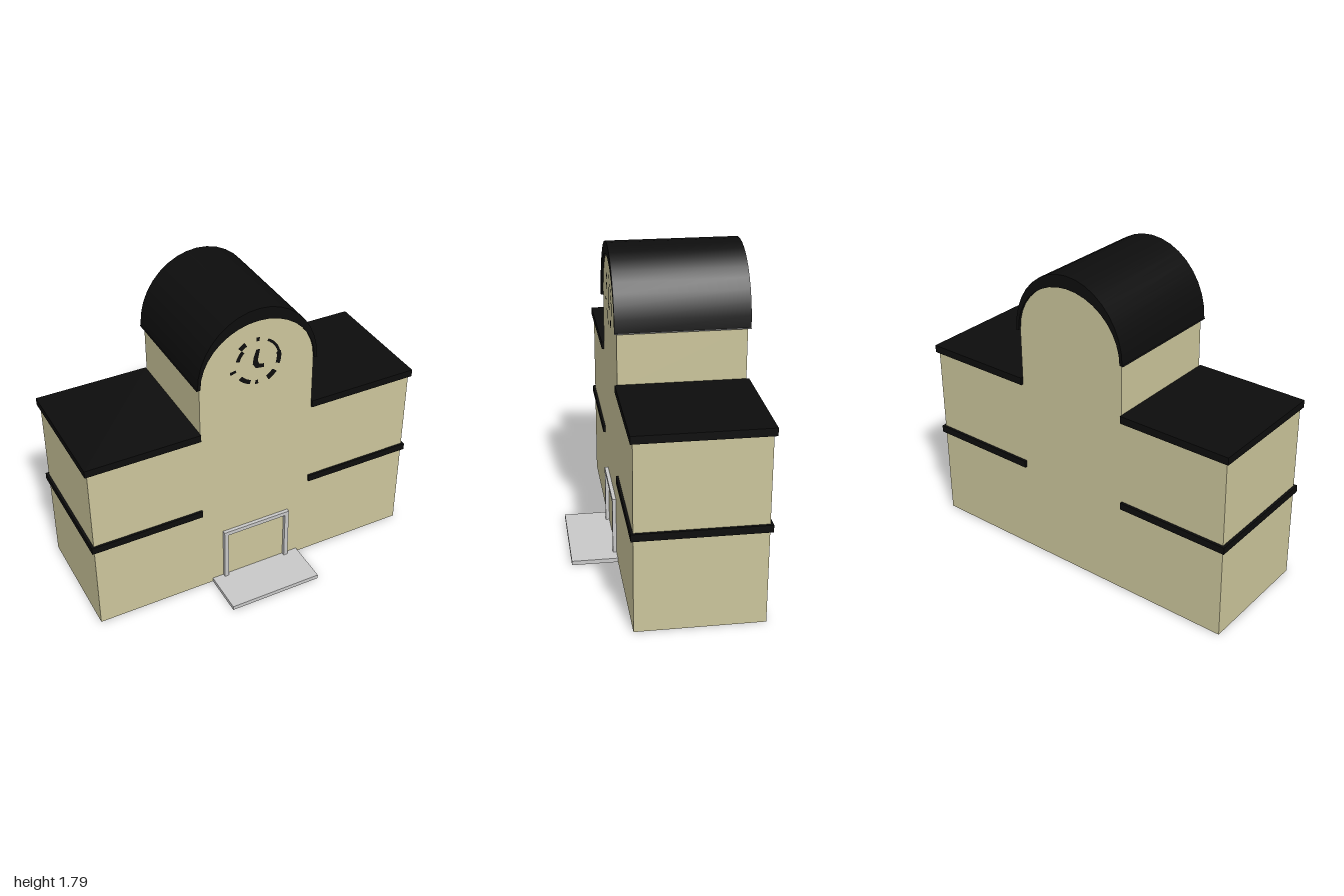
import * as THREE from 'three';
import { toCreasedNormals } from 'three/addons/utils/BufferGeometryUtils.js';

const FRONT = 0.226, BACK = -0.471;        // wall planes
const EAVE_F = 0.239, EAVE_B = -0.486;     // trim and roof planes
const ARCH_Y = 1.4;

function material(name, color, side = THREE.FrontSide) {
  const m = new THREE.MeshStandardMaterial({ color, side });
  m.name = name;
  return m;
}

// Points of a half ellipse from right to left
function arch(a, b, y, n = 18) {
  return Array.from({ length: n + 1 }, (_, i) => {
    const t = (i / n) * Math.PI;
    return new THREE.Vector2(a * Math.cos(t), y + b * Math.sin(t));
  });
}

// Open strip joining an outline on the front plane to the back plane
function ribbon(points, z0, z1) {
  const pos = [];
  for (let i = 0; i < points.length - 1; i++) {
    const p = points[i], q = points[i + 1];
    pos.push(p.x, p.y, z0, p.x, p.y, z1, q.x, q.y, z1);
    pos.push(p.x, p.y, z0, q.x, q.y, z1, q.x, q.y, z0);
  }
  const g = new THREE.BufferGeometry();
  g.setAttribute('position', new THREE.Float32BufferAttribute(pos, 3));
  g.computeVertexNormals();
  return g;
}

export function createModel() {
  const model = new THREE.Group();
  model.name = 'building';
  const cream = material('cream wall', 0xcbc59b, THREE.DoubleSide);
  const black = material('black trim', 0x0d0d0d);
  const grey = material('light grey stone', 0xc8c8c8);

  const add = (name, geometry, mat, parent = model) => {
    const mesh = new THREE.Mesh(geometry, mat);
    mesh.name = name;
    parent.add(mesh);
    return mesh;
  };
  // Box given by its limits on each axis
  const box = (name, x0, x1, y0, y1, z0, z1, mat) => {
    const g = new THREE.BoxGeometry(x1 - x0, y1 - y0, z1 - z0);
    g.translate((x0 + x1) / 2, (y0 + y1) / 2, (z0 + z1) / 2);
    return add(name, g, mat);
  };

  // Hollow walls: two wings and the arched tower, open below
  const V = (x, y) => new THREE.Vector2(x, y);
  const outline = [
    V(0.985, 0), V(0.985, 1.08), V(0.34, 1.08),
    ...arch(0.34, 0.325, ARCH_Y),
    V(-0.34, 1.08), V(-0.985, 1.08), V(-0.985, 0),
  ];
  const face = new THREE.ShapeGeometry(new THREE.Shape(outline));
  add('frontWall', face, cream).position.z = FRONT;
  add('backWall', face.clone().rotateY(Math.PI), cream).position.z = BACK;
  add('sideWalls', ribbon(outline, FRONT, BACK), cream);

  // Arched tower roof
  const roofShape = new THREE.Shape([
    V(0.36, 1.395), ...arch(0.355, 0.392, ARCH_Y), V(-0.36, 1.395),
    ...arch(0.338, 0.323, ARCH_Y - 0.002).reverse(),
  ]);
  const roof = new THREE.ExtrudeGeometry(roofShape, { depth: EAVE_F - EAVE_B, bevelEnabled: false });
  roof.translate(0, 0, EAVE_B);
  add('towerRoof', toCreasedNormals(roof, 0.6), black);

  // Wing roofs and the trim between the floors
  for (const s of [-1, 1]) {
    const side = s > 0 ? 'left' : 'right';
    const span = (a, b) => (s > 0 ? [a, b] : [-b, -a]);
    box(side + 'WingRoof', ...span(0.34, 1), 1.065, 1.108, EAVE_B, EAVE_F, black);
    box(side + 'FrontTrim', ...span(0.34, 1), 0.535, 0.576, FRONT, EAVE_F, black);
    box(side + 'BackTrim', ...span(0.34, 1), 0.535, 0.576, EAVE_B, BACK, black);
    box(side + 'EndTrim', ...span(0.985, 1), 0.535, 0.576, BACK, FRONT, black);
  }

  // Worn clock: pieces of a ring [start, end in degrees, inner, outer radius]
  const clock = new THREE.Group();
  clock.name = 'clock';
  clock.position.set(-0.005, 1.468, FRONT + 0.004);
  model.add(clock);
  const pieces = [
    [-20, 12, 0.118, 0.145], [12, 62, 0.125, 0.14], [-62, -38, 0.118, 0.152],
    [-94, -86, 0.115, 0.14], [-142, -108, 0.11, 0.135], [-172, -165, 0.125, 0.16],
    [135, 165, 0.105, 0.128], [118, 135, 0.125, 0.155], [84, 92, 0.125, 0.148],
  ];
  for (const [a, b, r0, r1] of pieces) {
    const rad = THREE.MathUtils.degToRad;
    add('ringPiece', new THREE.RingGeometry(r0, r1, 6, 1, rad(a), rad(b - a)), black, clock);
  }
  const hands = new THREE.Shape([
    V(-0.005, 0.075), V(-0.02, 0.03), V(-0.025, -0.01), V(-0.005, -0.04), V(0.042, -0.045),
    V(0.042, -0.022), V(0.015, -0.018), V(0.005, 0.005), V(0.01, 0.035), V(0.018, 0.075),
  ]);
  add('hands', new THREE.ShapeGeometry(hands), black, clock);

  // Doorway frame and front step
  box('leftDoorPost', 0.185, 0.21, 0.025, 0.34, 0.224, 0.247, grey);
  box('rightDoorPost', -0.21, -0.185, 0.025, 0.34, 0.224, 0.247, grey);
  box('doorLintel', -0.21, 0.21, 0.34, 0.365, 0.224, 0.247, grey);
  box('frontStep', -0.28, 0.28, 0, 0.025, 0.22, 0.488, grey);

  return model;
}
